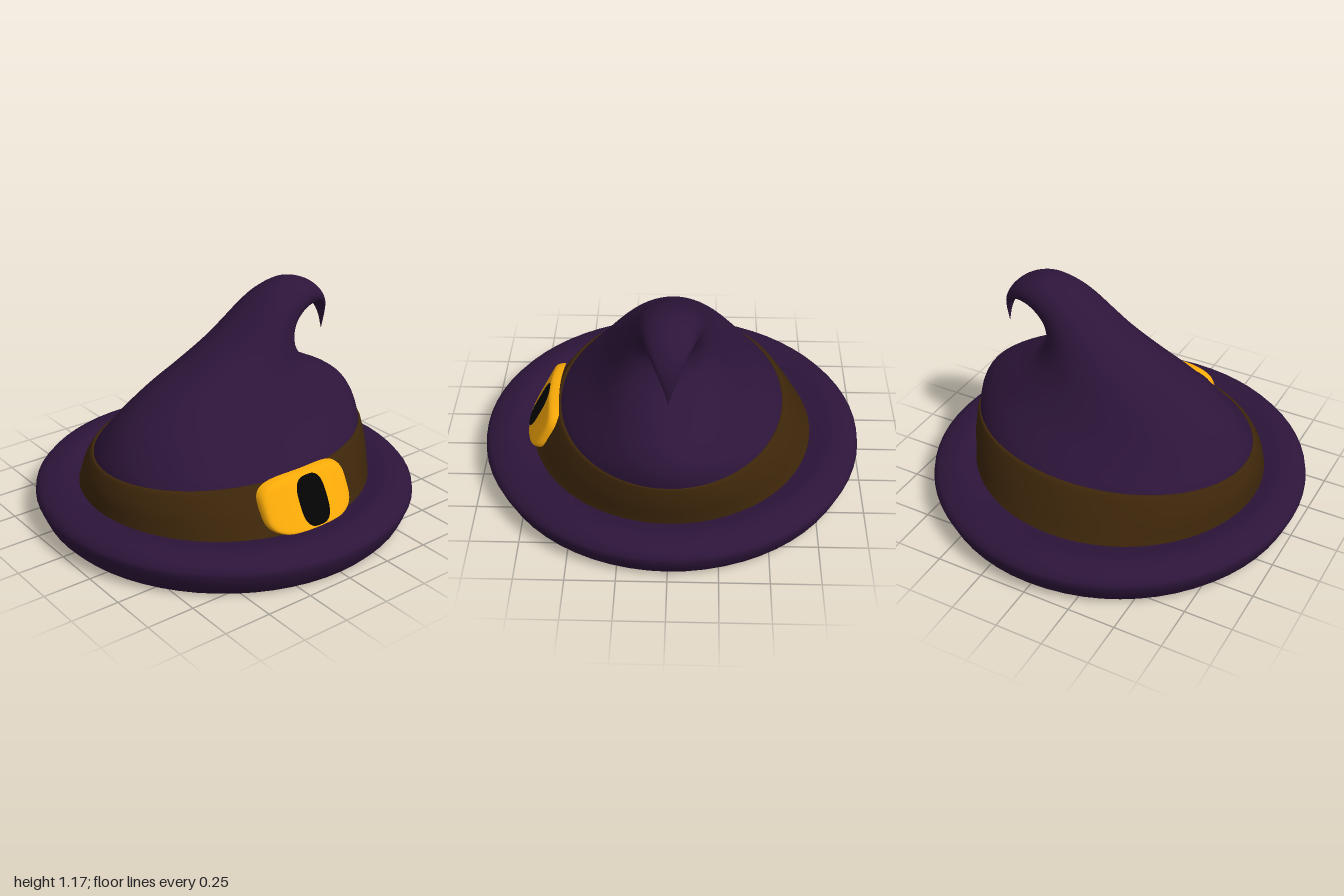
import * as THREE from 'three';

const mat = (color, side = THREE.FrontSide) => new THREE.MeshStandardMaterial({ color, side });

// Smooth skin of point(u, angle), closed around the angle
function skin(rows, sides, point) {
  const pos = [], index = [];
  for (let i = 0; i <= rows; i++) {
    for (let j = 0; j < sides; j++) {
      pos.push(...point(i / rows, (j / sides) * Math.PI * 2));
      if (i === rows) continue;
      const a = i * sides + j, b = i * sides + ((j + 1) % sides);
      index.push(a, a + sides, b, b, a + sides, b + sides);
    }
  }
  const geo = new THREE.BufferGeometry();
  geo.setAttribute('position', new THREE.Float32BufferAttribute(pos, 3));
  geo.setIndex(index);
  geo.computeVertexNormals();
  return geo;
}

// Loft of tilted ellipses; each section is [left x, left y, right x, right y, half depth]
function loft(sections, rows, sides) {
  const left = new THREE.CatmullRomCurve3(sections.map((s) => new THREE.Vector3(s[0], s[1], s[4])));
  const right = new THREE.CatmullRomCurve3(sections.map((s) => new THREE.Vector3(s[2], s[3], s[4])));
  return skin(rows, sides, (u, a) => {
    const l = left.getPoint(u), r = right.getPoint(u), k = (1 + Math.cos(a)) / 2;
    return [l.x + (r.x - l.x) * k, l.y + (r.y - l.y) * k, l.z * Math.sin(a)];
  });
}

// Section moved inwards by the thickness of the cloth
function inset([lx, ly, rx, ry, w], t) {
  const k = t / Math.hypot(rx - lx, ry - ly), dx = (rx - lx) * k, dy = (ry - ly) * k;
  return [lx + dx, ly + dy, rx - dx, ry - dy, w - t];
}

const lathe = (profile) => new THREE.LatheGeometry(profile.map((p) => new THREE.Vector2(...p)), 64);

// Rounded plate that follows the sloping front of the band
function plate(cx, cy, rx, ry, power, height) {
  const round = (v) => Math.sign(v) * Math.pow(Math.abs(v), 2 / power);
  return skin(28, 64, (u, a) => {
    const s = Math.sin((u * Math.PI) / 2);
    const x = cx + rx * s * round(Math.cos(a));
    const y = cy + ry * s * round(Math.sin(a));
    const wall = (0.722 - 0.53 * (y - 0.2)) * Math.sqrt(1 - (x / 0.79) ** 2);
    const lift = Math.sqrt(Math.max(0, 1 - s ** 30));
    return [x, y, wall - 0.012 + (height + 0.012) * lift];
  });
}

export function createModel() {
  const hat = new THREE.Group();
  hat.name = 'hat';
  const purple = mat(0x2d153a), brown = mat(0x3d260a), gold = mat(0xfaab08), black = mat(0x040404);
  const dark = mat(0x040404, THREE.BackSide);
  const add = (name, geometry, material) => {
    const mesh = new THREE.Mesh(geometry, material);
    mesh.name = name;
    hat.add(mesh);
  };

  // Brim with a turned-down edge, dipping towards the band
  add('brim', lathe([[0.903, 0.016], [0.915, 0.004], [0.932, 0.001], [0.963, 0.035], [0.985, 0.085],
    [1, 0.125], [0.996, 0.15], [0.975, 0.174], [0.93, 0.191], [0.87, 0.199], [0.82, 0.194],
    [0.77, 0.179], [0.72, 0.17]]), purple);
  add('brimLining', lathe([[0.903, 0.016], [0.933, 0.05], [0.953, 0.095], [0.962, 0.125], [0.95, 0.144],
    [0.92, 0.157], [0.87, 0.164], [0.825, 0.16], [0.775, 0.146], [0.725, 0.137]]), dark);

  // Crown sweeping up and curling over to a drooping tip
  const crown = [
    [-0.755, 0.16, 0.765, 0.16, 0.715],
    [-0.745, 0.28, 0.778, 0.31, 0.645],
    [-0.724, 0.38, 0.79, 0.416, 0.58],
    [-0.68, 0.47, 0.787, 0.5, 0.495],
    [-0.6, 0.575, 0.75, 0.572, 0.41],
    [-0.45, 0.69, 0.67, 0.637, 0.342],
    [-0.25, 0.8, 0.55, 0.7, 0.287],
    [-0.05, 0.915, 0.45, 0.76, 0.243],
    [0.08, 1.01, 0.397, 0.825, 0.21],
    [0.18, 1.085, 0.385, 0.875, 0.187],
    [0.28, 1.14, 0.4, 0.925, 0.166],
    [0.42, 1.17, 0.45, 0.975, 0.142],
    [0.53, 1.14, 0.51, 1.0, 0.117],
    [0.605, 1.08, 0.57, 0.998, 0.087],
    [0.648, 1.01, 0.622, 0.965, 0.055],
    [0.665, 0.93, 0.648, 0.905, 0.025],
    [0.66, 0.83, 0.66, 0.83, 0.001],
  ];
  add('crown', loft(crown, 96, 64), purple);

  // Dark hollow inside the crown
  add('crownLining', loft([
    [-0.725, 0.137, 0.725, 0.137, 0.725],
    ...crown.slice(1, 12).map((s) => inset(s, 0.034)),
    [0.5, 1.07, 0.5, 1.07, 0.001],
  ], 60, 64), dark);

  // Band around the foot of the crown, with a narrow rounded top edge
  add('band', loft([
    [-0.785, 0.14, 0.785, 0.14, 0.762],
    [-0.78, 0.2, 0.79, 0.2, 0.724],
    [-0.771, 0.29, 0.803, 0.315, 0.664],
    [-0.741, 0.37, 0.797, 0.406, 0.606],
    [-0.732, 0.379, 0.793, 0.416, 0.594],
    [-0.715, 0.377, 0.78, 0.414, 0.57],
  ], 40, 64), brown);

  // Buckle with its dark middle
  add('buckle', plate(0.01, 0.294, 0.272, 0.128, 3.6, 0.037), gold);
  add('buckleCentre', plate(0.015, 0.297, 0.092, 0.119, 3, 0.042), black);
  return hat;
}
